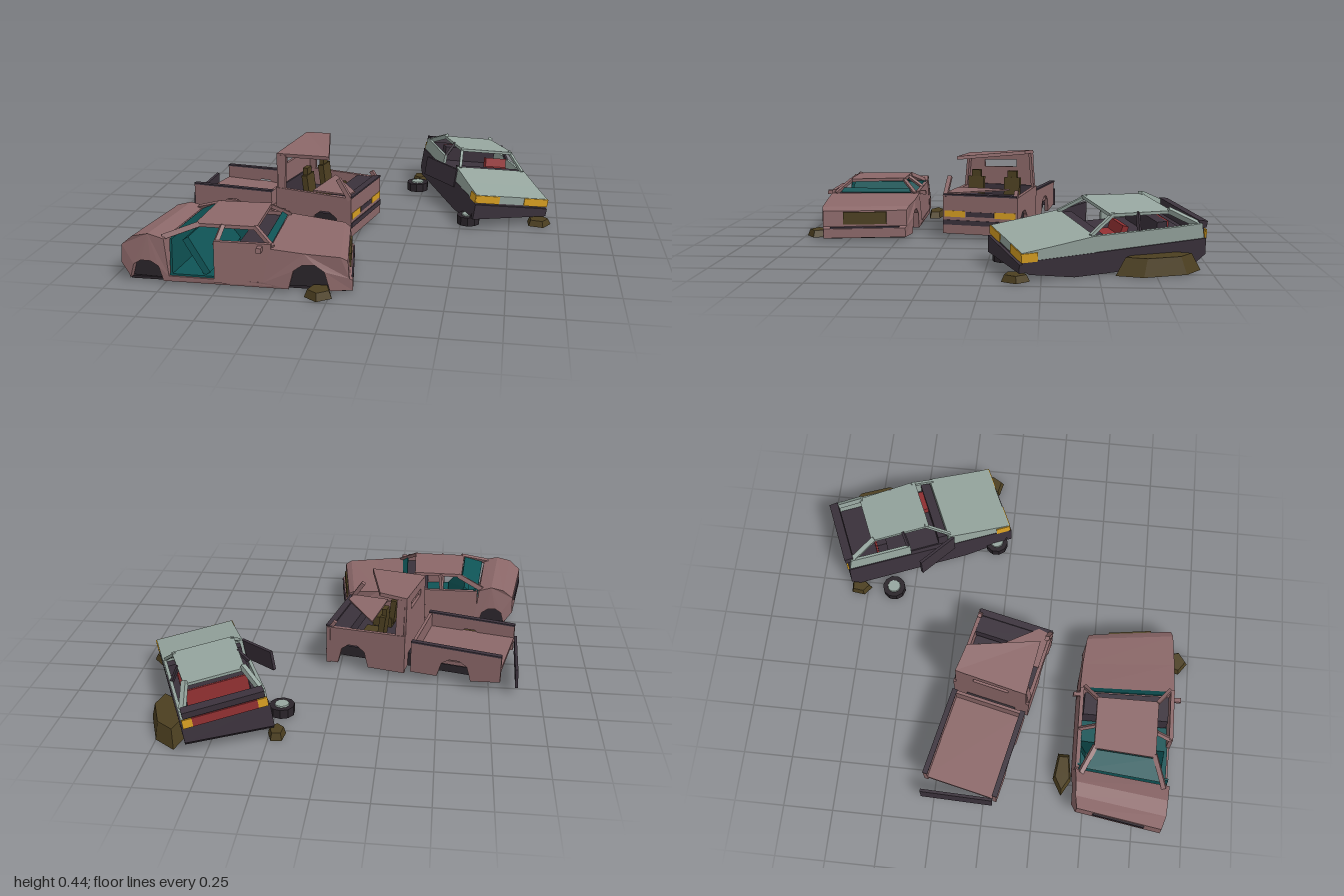
import * as THREE from 'three';

const mat = (name, color) => Object.assign(new THREE.MeshStandardMaterial({ color }), { name });
const M = {
  pink: mat('faded pink paint', 0x8c6869),
  pale: mat('pale grey green paint', 0x96a69f),
  dark: mat('dark plum trim', 0x3b323c),
  under: mat('underbody black', 0x2a242a),
  olive: mat('olive brown', 0x4c3f20),
  teal: mat('teal interior', 0x0f5456),
  yellow: mat('amber lamp', 0xd9a022),
  red: mat('red', 0x923032),
};

// Adds a faceted mesh to a group
function add(g, name, material, geo) {
  const flat = geo.index ? geo.toNonIndexed() : geo;
  flat.computeVertexNormals();
  const m = new THREE.Mesh(flat, material);
  m.name = name;
  g.add(m);
}
function box(g, name, m, [w, h, d], [x, y, z], rx = 0, ry = 0) {
  add(g, name, m, new THREE.BoxGeometry(w, h, d).rotateX(rx).rotateY(ry).translate(x, y, z));
}
// Square bar between two points
function beam(g, name, m, a, b, t) {
  const p = new THREE.Vector3(...a), q = new THREE.Vector3(...b), dir = q.clone().sub(p);
  const geo = new THREE.BoxGeometry(t, t, dir.length() + t * 0.5);
  geo.applyQuaternion(new THREE.Quaternion().setFromUnitVectors(new THREE.Vector3(0, 0, 1), dir.normalize()));
  const c = p.add(q).multiplyScalar(0.5);
  add(g, name, m, geo.translate(c.x, c.y, c.z));
}
// Plate from four corners, counter-clockwise seen from its outer side
function plate(g, name, m, pts, t) {
  const top = pts.map(p => new THREE.Vector3(...p));
  const n = top[1].clone().sub(top[0]).cross(top[2].clone().sub(top[0])).normalize();
  const v = [...top, ...top.map(p => p.clone().addScaledVector(n, -t))];
  const idx = [0, 1, 2, 0, 2, 3, 6, 5, 4, 7, 6, 4];
  for (let i = 0; i < 4; i++) {
    const j = (i + 1) % 4;
    idx.push(i, i + 4, j + 4, i, j + 4, j);
  }
  const geo = new THREE.BufferGeometry().setFromPoints(v);
  geo.setIndex(idx);
  add(g, name, m, geo);
}
// Side profile of [z, y] points, extruded across the width around x
function profile(g, name, m, pts, width, x = 0) {
  const shape = new THREE.Shape(pts.map(p => new THREE.Vector2(...p)));
  const geo = new THREE.ExtrudeGeometry(shape, { depth: width, bevelEnabled: false });
  add(g, name, m, geo.translate(0, 0, -width / 2).rotateY(-Math.PI / 2).translate(x, 0, 0));
}
// Wheel arch points, running from front to back
const arch = (z, r, y0, h) => [[z + r, y0], [z + r * 0.75, y0 + h * 0.75], [z + r * 0.3, y0 + h], [z - r * 0.3, y0 + h], [z - r * 0.75, y0 + h * 0.75], [z - r, y0]];
// Bends every vertex of a car
function warp(g, rule) {
  g.children.forEach(({ geometry }) => {
    const p = geometry.attributes.position, v = new THREE.Vector3();
    for (let i = 0; i < p.count; i++) {
      rule(v.fromBufferAttribute(p, i));
      p.setXYZ(i, v.x, v.y, v.z);
    }
    geometry.computeVertexNormals();
  });
}
const group = name => Object.assign(new THREE.Group(), { name });

function coupe() {
  const g = group('crushedCoupe');
  profile(g, 'body', M.pink, [
    [-0.45, 0.03], [-0.49, 0.08], [-0.485, 0.165], [-0.43, 0.212], [-0.36, 0.228], [-0.29, 0.21], [-0.27, 0.04], [0.13, 0.04],
    [0.16, 0.195], [0.3, 0.18], [0.45, 0.168], [0.48, 0.15], [0.485, 0.07], [0.5, 0.06], [0.5, 0.012],
    ...arch(0.32, 0.085, 0.015, 0.115), ...arch(-0.37, 0.075, 0.015, 0.09)], 0.5);
  box(g, 'underbody', M.under, [0.46, 0.012, 0.92], [0, 0.011, 0.01]);
  box(g, 'frontWheelWell', M.under, [0.44, 0.1, 0.17], [0, 0.07, 0.32]);
  box(g, 'rearWheelWell', M.under, [0.44, 0.08, 0.15], [0, 0.06, -0.37]);
  box(g, 'cabinFloor', M.teal, [0.48, 0.01, 0.4], [0, 0.044, -0.07]);
  box(g, 'rearBulkhead', M.teal, [0.48, 0.165, 0.01], [0, 0.127, -0.262]);
  box(g, 'innerDoorPanel', M.teal, [0.006, 0.16, 0.2], [0.226, 0.125, -0.16]);
  plate(g, 'rearBench', M.teal, [[-0.22, 0.06, -0.1], [0.22, 0.06, -0.1], [0.2, 0.21, -0.2], [-0.2, 0.21, -0.2]], 0.03);
  box(g, 'dashboard', M.dark, [0.44, 0.13, 0.12], [0, 0.125, 0.075]);
  // doors: one closed side, one with its rear part torn open
  box(g, 'leftDoor', M.pink, [0.02, 0.18, 0.44], [0.24, 0.115, -0.06]);
  box(g, 'rightDoor', M.pink, [0.02, 0.19, 0.24], [-0.24, 0.12, 0.045]);
  plate(g, 'roof', M.pink, [[-0.165, 0.262, 0.09], [0.165, 0.27, 0.09], [0.165, 0.268, -0.18], [-0.165, 0.262, -0.18]], 0.016);
  plate(g, 'rearWindow', M.teal, [[-0.16, 0.256, -0.185], [0.16, 0.26, -0.185], [0.2, 0.212, -0.28], [-0.2, 0.212, -0.28]], 0.006);
  plate(g, 'windscreenEdge', M.teal, [[-0.2, 0.2, 0.16], [0.2, 0.2, 0.16], [0.19, 0.22, 0.135], [-0.19, 0.22, 0.135]], 0.006);
  for (const s of [-1, 1]) {
    beam(g, 'windscreenPillar', M.pink, [s * 0.16, 0.256, 0.085], [s * 0.225, 0.198, 0.165], 0.018);
    beam(g, 'middlePillar', M.pink, [s * 0.165, 0.255, -0.06], [s * 0.235, 0.2, -0.07], 0.018);
    beam(g, 'rearPillar', M.pink, [s * 0.16, 0.255, -0.17], [s * 0.22, 0.21, -0.3], 0.024);
    box(g, 'mirror', M.pink, [0.035, 0.022, 0.02], [s * 0.265, 0.195, 0.12]);
  }
  box(g, 'grille', M.olive, [0.26, 0.064, 0.009], [0, 0.112, 0.486]);
  box(g, 'bumperGap', M.dark, [0.42, 0.008, 0.008], [0, 0.066, 0.498]);
  box(g, 'rearPlate', M.dark, [0.3, 0.03, 0.008], [0, 0.13, -0.489]);
  // narrower ends, leaning sides, cut corners and skewed nose and tail
  warp(g, v => {
    const corner = Math.max(0, Math.abs(v.z) - 0.44) * 1.2;
    v.x *= (1 - 0.4 * v.z * v.z - corner) * (1 - Math.max(0, v.y - 0.12) * 0.5);
    v.z -= 0.3 * v.z * v.x;
  });
  g.position.set(-0.435, 0, 0.67);
  g.rotation.y = Math.PI / 2;
  return g;
}

function pickup() {
  const g = group('brokenPickup');
  // load bed
  box(g, 'bedFloor', M.pink, [0.36, 0.02, 0.45], [0, 0.12, -0.225]);
  box(g, 'bedUnderside', M.dark, [0.345, 0.01, 0.44], [0, 0.107, -0.225]);
  box(g, 'chassis', M.under, [0.26, 0.07, 0.84], [0, 0.075, -0.01]);
  box(g, 'bedFront', M.pink, [0.36, 0.08, 0.015], [0, 0.165, -0.01]);
  for (const s of [-1, 1]) {
    profile(g, 'bedSide', M.pink, [[-0.45, 0.06], [-0.45, 0.195], [0, 0.205], [0, 0.04], ...arch(-0.22, 0.085, 0.04, 0.1)], 0.02, s * 0.18);
    box(g, 'bedRail', M.dark, [0.026, 0.008, 0.45], [s * 0.18, 0.202, -0.225], -0.022);
    profile(g, 'cabSide', M.pink, [[0.03, 0.03], [0.03, 0.235], [0.42, 0.225], [0.435, 0.03], ...arch(0.3, 0.08, 0.03, 0.11)], 0.018, s * 0.19);
    plate(g, 'cabCorner', M.pink, s > 0
      ? [[0.18, 0.42, 0.04], [0.18, 0.42, 0.08], [0.196, 0.23, 0.08], [0.196, 0.23, 0.04]]
      : [[-0.196, 0.23, 0.04], [-0.196, 0.23, 0.08], [-0.18, 0.4, 0.08], [-0.18, 0.4, 0.04]], 0.014);
    box(g, 'headlamp', M.yellow, [0.11, 0.032, 0.009], [s * 0.135, 0.13, 0.438]);
    box(g, 'seatBase', M.olive, [0.1, 0.05, 0.1], [s * 0.1, 0.17, 0.22]);
    box(g, 'seatBack', M.olive, [0.085, 0.13, 0.03], [s * 0.1, 0.23, 0.17], -0.12);
    box(g, 'headrest', M.olive, [0.05, 0.04, 0.025], [s * 0.1, 0.31, 0.16]);
  }
  // cab
  box(g, 'cabFloor', M.dark, [0.37, 0.02, 0.39], [0, 0.135, 0.235]);
  box(g, 'cabInnerWall', M.dark, [0.35, 0.1, 0.008], [0, 0.19, 0.05]);
  box(g, 'frontPanel', M.pink, [0.4, 0.2, 0.02], [0, 0.125, 0.43]);
  box(g, 'dashboard', M.dark, [0.37, 0.06, 0.1], [0, 0.195, 0.37]);
  box(g, 'frontSill', M.dark, [0.39, 0.008, 0.035], [0, 0.229, 0.427]);
  plate(g, 'fallenPanel', M.pink, [[-0.185, 0.24, 0.42], [-0.125, 0.24, 0.43], [0.1, 0.24, 0.23], [-0.185, 0.24, 0.23]], 0.008);
  box(g, 'grille', M.dark, [0.15, 0.025, 0.008], [0, 0.13, 0.438]);
  box(g, 'bumper', M.dark, [0.4, 0.025, 0.015], [0, 0.085, 0.437]);
  const wall = new THREE.Shape([[-0.19, 0.04], [0.19, 0.04], [0.18, 0.43], [-0.18, 0.405]].map(p => new THREE.Vector2(...p)));
  wall.holes.push(new THREE.Path([[-0.09, 0.335], [-0.09, 0.372], [0.09, 0.376], [0.09, 0.338]].map(p => new THREE.Vector2(...p))));
  add(g, 'cabRearWall', M.pink, new THREE.ExtrudeGeometry(wall, { depth: 0.015, bevelEnabled: false }).translate(0, 0, 0.03));
  plate(g, 'tornRoof', M.pink, [[-0.165, 0.415, 0.31], [0.17, 0.44, 0.17], [0.18, 0.432, 0.03], [-0.18, 0.408, 0.03]], 0.018);
  beam(g, 'bentPillar', M.pink, [-0.19, 0.22, 0.43], [-0.185, 0.31, 0.37], 0.022);
  beam(g, 'pillarStump', M.pink, [0.185, 0.22, 0.42], [0.185, 0.25, 0.4], 0.02);
  // detached tailgate behind the bed
  box(g, 'tailgate', M.dark, [0.36, 0.1, 0.014], [0.005, 0.09, -0.495], 0.06, 0.19);
  g.position.set(-0.403, 0, -0.02);
  g.rotation.y = 1.35;
  return g;
}

function hatchback() {
  const g = group('wreckedHatchback');
  profile(g, 'lowerBody', M.dark, [
    [-0.4, 0.005], [-0.445, 0.04], [-0.44, 0.115], [0.44, 0.095], [0.45, 0.06], [0.41, 0.035], [0.2, 0]], 0.4);
  box(g, 'underbody', M.under, [0.34, 0.01, 0.56], [0, 0.001, -0.09]);
  profile(g, 'hood', M.pale, [[0.446, 0.094], [0.446, 0.134], [0.3, 0.152], [0.11, 0.178], [0.1, 0.1]], 0.396);
  box(g, 'cabinFloor', M.dark, [0.36, 0.01, 0.5], [0, 0.112, -0.15]);
  box(g, 'dashboard', M.dark, [0.36, 0.06, 0.05], [0, 0.14, 0.08]);
  for (const s of [-1, 1]) {
    const front = s < 0 ? -0.1 : 0.11;
    // the right door hangs open, so its side is only half closed
    profile(g, 'sidePanel', M.pale, [[-0.435, 0.112], [-0.42, 0.185], [-0.31, 0.18], [front, 0.176], [front, 0.1]], 0.015, s * 0.187);
    beam(g, 'windscreenPillar', M.pale, [s * 0.14, 0.25, 0.0], [s * 0.18, 0.178, 0.12], 0.015);
    beam(g, 'middlePillar', M.dark, [s * 0.14, 0.245, -0.12], [s * 0.182, 0.175, -0.11], 0.014);
    beam(g, 'rearPillar', M.pale, [s * 0.135, 0.24, -0.28], [s * 0.175, 0.18, -0.4], 0.024);
    box(g, 'headlamp', M.yellow, [0.13, 0.04, 0.009], [s * 0.134, 0.112, 0.446]);
    box(g, 'cornerLamp', M.yellow, [0.009, 0.04, 0.075], [s * 0.198, 0.112, 0.412]);
    box(g, 'rearCornerLamp', M.yellow, [0.045, 0.042, 0.009], [s * 0.17, 0.132, -0.443]);
  }
  // seats: one front seat and the rear bench seen through the open hatch
  box(g, 'leftSeat', M.red, [0.12, 0.03, 0.12], [0.09, 0.135, 0.0]);
  box(g, 'leftSeatBack', M.red, [0.12, 0.065, 0.03], [0.09, 0.16, -0.05], -0.3);
  box(g, 'rearBench', M.dark, [0.3, 0.08, 0.05], [0, 0.155, -0.24]);
  box(g, 'rearBenchBack', M.red, [0.29, 0.075, 0.009], [0, 0.157, -0.27]);
  plate(g, 'roof', M.pale, [[-0.15, 0.255, 0.02], [0.15, 0.255, 0.02], [0.14, 0.24, -0.29], [-0.14, 0.24, -0.29]], 0.014);
  box(g, 'rearPanel', M.dark, [0.36, 0.065, 0.015], [0, 0.14, -0.432]);
  box(g, 'spoiler', M.dark, [0.37, 0.032, 0.045], [0, 0.178, -0.428], -0.15);
  box(g, 'tailStrip', M.red, [0.296, 0.042, 0.009], [0, 0.132, -0.443]);
  box(g, 'frontBumper', M.dark, [0.4, 0.04, 0.025], [0, 0.065, 0.445]);
  box(g, 'openRightDoor', M.dark, [0.015, 0.1, 0.23], [-0.25, 0.12, 0.03], 0, 0.45);
  // the right sill sags towards the ground
  warp(g, v => {
    if (v.y < 0.05 && v.x < 0) v.y += v.x * 0.2;
  });
  g.position.set(0.57, 0.035, -0.5);
  g.rotation.set(0.03, 0.4, -0.14, 'YXZ');
  return g;
}

// Loose wheel lying flat
function looseWheel(x, z) {
  const g = group('looseWheel');
  add(g, 'tyre', M.under, new THREE.CylinderGeometry(0.06, 0.06, 0.045, 10).translate(0, 0.03, 0));
  add(g, 'hub', M.pale, new THREE.CylinderGeometry(0.033, 0.036, 0.008, 10).translate(0, 0.055, 0));
  g.position.set(x, 0, z);
  return g;
}

export function createModel() {
  const root = group('carWrecks');
  root.add(coupe(), pickup(), hatchback(), looseWheel(0.22, -0.605), looseWheel(0.54, -0.08));
  // low lumps of debris: sides, x, z, width, height, depth, turn
  const lumps = [
    [6, 0.72, -0.765, 0.15, 0.08, 0.38, 0.35], [5, 0.215, -0.79, 0.08, 0.035, 0.11, 0.1], [5, 0.9, -0.14, 0.12, 0.03, 0.12, 0.4],
    [5, -0.69, 0.385, 0.09, 0.035, 0.22, -Math.PI / 2], [5, -0.045, 0.93, 0.12, 0.035, 0.12, 0],
  ];
  for (const [sides, x, z, w, h, d, turn] of lumps) {
    const geo = new THREE.CylinderGeometry(0.42, 0.54, 1, sides).scale(w, h, d).rotateY(turn).translate(x, h / 2, z);
    add(root, 'debris', M.olive, geo);
  }
  return root;
}
